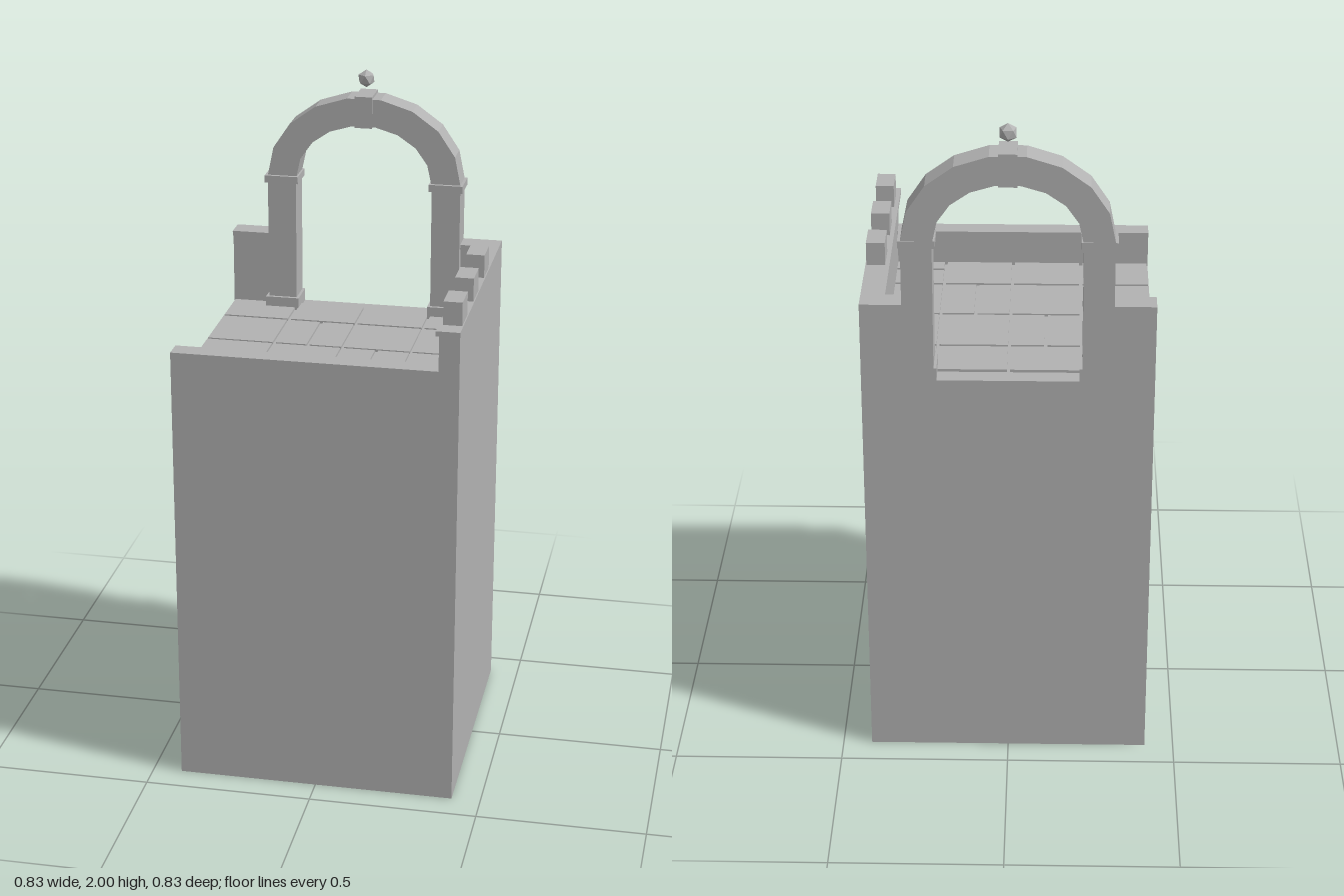
import * as THREE from 'three';

export function createModel() {
  const model = new THREE.Group();
  model.name = 'towerTop';
  const stone = new THREE.MeshStandardMaterial({ color: 0xb2b2b2, side: THREE.DoubleSide });
  stone.name = 'stone';

  const E = 0.414;       // outer edge of the tower
  const FLOOR = 1.25;    // top of the paving
  const BED = 1.242;     // bottom of the paving joints

  function add(name, geometry, parent = model) {
    const mesh = new THREE.Mesh(geometry, stone);
    mesh.name = name;
    parent.add(mesh);
    return mesh;
  }
  // Box given by its limits on each axis
  function block(name, x0, x1, y0, y1, z0, z1, parent) {
    const mesh = add(name, new THREE.BoxGeometry(x1 - x0, y1 - y0, z1 - z0), parent);
    mesh.position.set((x0 + x1) / 2, (y0 + y1) / 2, (z0 + z1) / 2);
    return mesh;
  }

  // Thin tower walls on three sides; the -x side and the bottom are open
  [['frontWall', 0, E, 0], ['sideWall', E, 0, Math.PI / 2], ['backWall', 0, -E, Math.PI]]
    .forEach(([name, x, z, turn]) => {
      const wall = add(name, new THREE.PlaneGeometry(2 * E, BED));
      wall.position.set(x, BED / 2, z);
      wall.rotation.y = turn;
    });

  // Floor bed with raised paving slabs
  const bed = add('floorBed', new THREE.PlaneGeometry(2 * E, 2 * E));
  bed.rotation.x = -Math.PI / 2;
  bed.position.y = BED;

  const paving = new THREE.Group();
  paving.name = 'paving';
  model.add(paving);
  const slab = (x0, x1, z0, z1) => block('slab', x0, x1, BED - 0.002, FLOOR, z0, z1, paving);
  const columns = [[-0.411, -0.213], [-0.203, -0.005], [0.004, 0.202], [0.211, 0.36]];
  const rows = [[-0.36, -0.213], [-0.203, -0.005], [0.004, 0.202], [0.213, 0.368]];
  rows.forEach(([z0, z1], r) => columns.forEach(([x0, x1], c) => {
    if (r === 1 && c === 1) {
      slab(x0, -0.11, z0, z1);
      slab(-0.1, x1, z0, z1);
    } else if (r === 2 && c === 2) {
      slab(x0, 0.099, z0, z1);
      slab(0.109, x1, z0, z1);
    } else if (r === 3 && c === 3) {
      slab(x0, x1, z0, 0.307);
      slab(x0, x1, 0.317, z1);
    } else slab(x0, x1, z0, z1);
  }));

  // Parapets with slightly overhanging copings
  function parapet(name, x0, x1, z0, z1, top, lipX, lipZ) {
    block(name, x0, x1, BED, top - 0.015, z0, z1);
    block(name + 'Coping', x0 + Math.min(lipX, 0), x1 + Math.max(lipX, 0), top - 0.015, top,
      z0 + Math.min(lipZ, 0), z1 + Math.max(lipZ, 0));
  }
  parapet('frontParapet', -E, 0.355, 0.365, E, 1.357, 0, -0.01);
  parapet('sideParapet', 0.355, E, -E, E, 1.476, -0.01, 0);
  parapet('backParapetRight', -E, -0.29, -E, -0.357, 1.476, 0, 0.01);
  parapet('backParapetLeft', 0.29, 0.355, -E, -0.357, 1.476, 0, 0.01);

  // Merlons on the side parapet
  for (const z of [-0.105, 0.105, 0.312]) {
    block('merlon', 0.357, 0.411, 1.476, 1.545, z - 0.047, z + 0.047);
  }

  // Gateway pillars with plinths and capitals
  for (const s of [-1, 1]) {
    const pillar = (name, inner, outer, y0, y1, front) =>
      block(name, Math.min(s * inner, s * outer), Math.max(s * inner, s * outer), y0, y1, -E, front);
    pillar('pillar', 0.209, 0.296, BED, 1.65, -0.327);
    pillar('plinth', 0.201, 0.304, BED, 1.28, -0.317);
    pillar('capital', 0.201, 0.304, 1.647, 1.669, -0.317);
  }

  // Faceted elliptical arch
  const SEGMENTS = 9;
  const curve = (rx, ry) => Array.from({ length: SEGMENTS + 1 }, (_, i) => {
    const a = (i / SEGMENTS) * Math.PI;
    return new THREE.Vector2(rx * Math.cos(a), 1.668 + ry * Math.sin(a));
  });
  const archShape = new THREE.Shape([...curve(0.296, 0.255), ...curve(0.207, 0.169).reverse()]);
  const arch = add('arch', new THREE.ExtrudeGeometry(archShape, { depth: 0.085, bevelEnabled: false }));
  arch.position.z = -0.412;

  // Keystone and finial
  block('keystone', -0.026, 0.026, 1.832, 1.928, -0.417, -0.32);
  const ball = new THREE.IcosahedronGeometry(0.027, 0);
  ball.rotateX(-Math.atan((1 + Math.sqrt(5)) / 2));
  add('finial', ball).position.set(0, 1.973, -0.369);

  return model;
}
